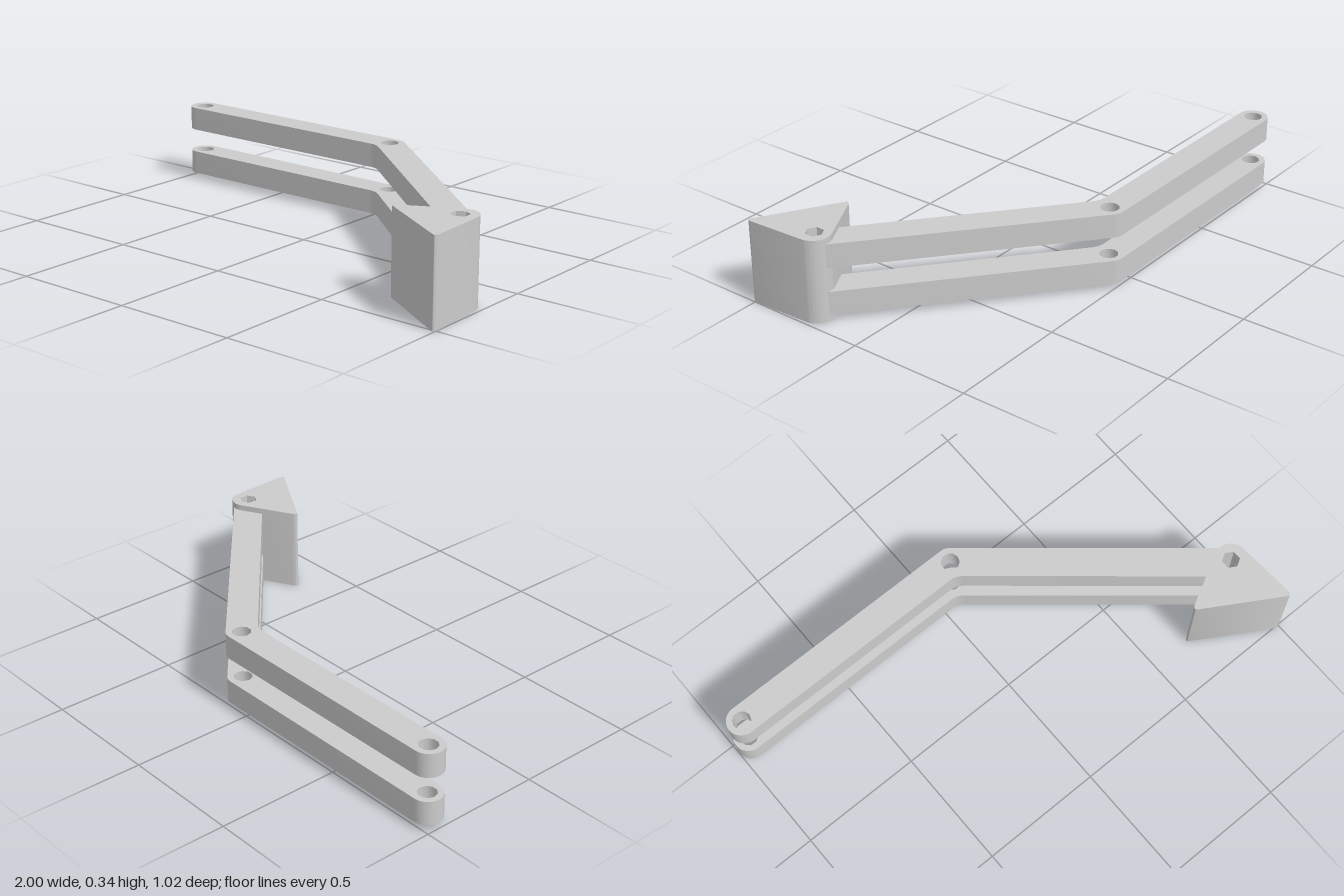
import * as THREE from 'three';
import { toCreasedNormals } from 'three/addons/utils/BufferGeometryUtils.js';

const material = new THREE.MeshStandardMaterial({ color: 0xcccccc });

// Pivot centres, in plan (x, z)
const shoulder = { x: -0.94, z: -0.45 };
const elbow = { x: 0.078, z: -0.45 };
const wrist = { x: 0.917, z: 0.252 };

// Polygonal pin hole
function pinHole({ x, z }, radius, sides, turn = 0) {
  const points = [];
  for (let i = 0; i < sides; i++) {
    const a = turn - (i / sides) * Math.PI * 2;
    points.push(new THREE.Vector2(x + radius * Math.cos(a), z + radius * Math.sin(a)));
  }
  return new THREE.Path(points);
}

// Extrude a plan shape (x, z) between two heights
function slab(name, shape, bottom, top) {
  const raw = new THREE.ExtrudeGeometry(shape, {
    depth: top - bottom, bevelEnabled: false, curveSegments: 10,
  });
  raw.rotateX(Math.PI / 2).translate(0, top, 0);
  const mesh = new THREE.Mesh(toCreasedNormals(raw, 0.82), material);
  mesh.name = name;
  return mesh;
}

// Cranked bar with rounded ends
function armShape() {
  const r = 0.06;
  const a = Math.atan2(wrist.z - elbow.z, wrist.x - elbow.x);
  const half = Math.PI / 2;
  const inner = { x: elbow.x - r * Math.tan(a / 2), z: elbow.z + r };
  const blend = 0.03;
  const s = new THREE.Shape();
  s.moveTo(shoulder.x, shoulder.z + r);
  s.absarc(shoulder.x, shoulder.z, r, half, 3 * half, false);
  s.absarc(elbow.x, elbow.z, r, -half, a - half, false);
  s.absarc(wrist.x, wrist.z, r, a - half, a + half, false);
  s.lineTo(inner.x + blend * Math.cos(a), inner.z + blend * Math.sin(a));
  s.quadraticCurveTo(inner.x, inner.z, inner.x - blend, inner.z);
  s.closePath();
  s.holes.push(
    pinHole(shoulder, 0.037, 10),
    pinHole(elbow, 0.037, 10),
    pinHole(wrist, 0.039, 6, Math.PI / 2),
  );
  return s;
}

// Wedge-shaped end block, rounded around the wrist pin
function blockShape() {
  const r = 0.067;
  const s = new THREE.Shape();
  s.moveTo(0.683, 0.302);
  s.absarc(wrist.x + 0.003, wrist.z, r, Math.PI * 1.338, Math.PI * 1.99, false);
  s.lineTo(0.999, 0.492);
  s.quadraticCurveTo(0.999, 0.516, 0.98, 0.504);
  s.lineTo(0.674, 0.322);
  s.quadraticCurveTo(0.666, 0.314, 0.683, 0.302);
  s.holes.push(pinHole(wrist, 0.036, 6, Math.PI / 2));
  return s;
}

export function createModel() {
  const group = new THREE.Group();
  group.name = 'crankedArm';
  group.add(
    slab('lowerArm', armShape(), 0.025, 0.122),
    slab('upperArm', armShape(), 0.221, 0.318),
    slab('endBlock', blockShape(), 0, 0.342),
  );
  return group;
}
